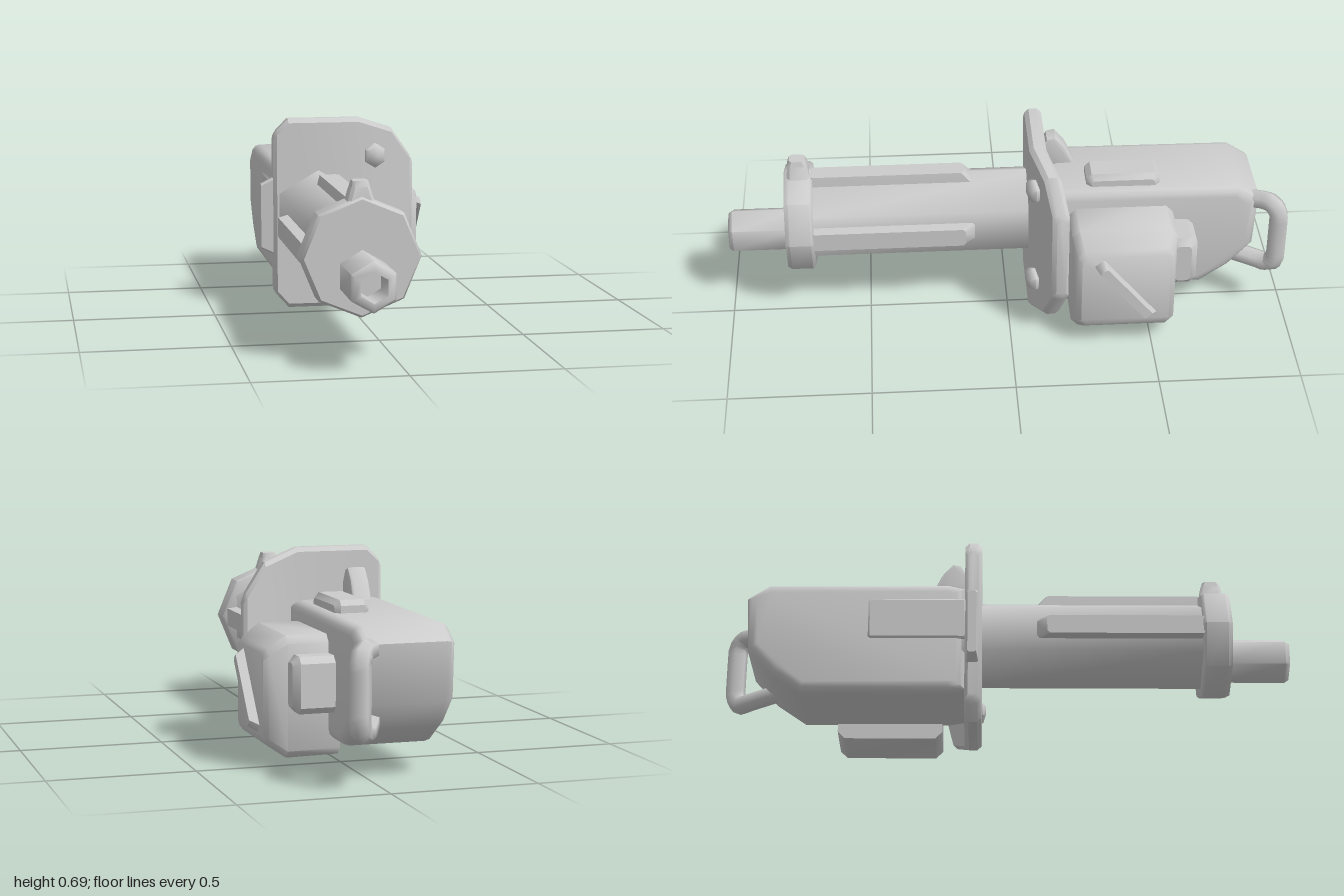
import * as THREE from 'three';
import { toCreasedNormals } from 'three/addons/utils/BufferGeometryUtils.js';

const CX = -0.112, CY = 0.341; // barrel axis

// Chamfered rectangle in the y-z plane at a given x
function ring(x, y0, y1, z0, z1, c = 0.01) {
  return [[y0 + c, z0], [y1 - c, z0], [y1, z0 + c], [y1, z1 - c],
    [y1 - c, z1], [y0 + c, z1], [y0, z1 - c], [y0, z0 + c]].map(([y, z]) => [x, y, z]);
}

// Closed solid through rings ordered by increasing x
function loft(rings) {
  const n = rings[0].length, last = (rings.length - 1) * n, idx = [];
  for (let i = 0; i < rings.length - 1; i++) {
    for (let j = 0; j < n; j++) {
      const k = (j + 1) % n, a = i * n + j, b = i * n + k;
      idx.push(a, b, b + n, a, b + n, a + n);
    }
  }
  for (let j = 1; j < n - 1; j++) idx.push(0, j + 1, j, last, last + j, last + j + 1);
  const g = new THREE.BufferGeometry();
  g.setAttribute('position', new THREE.Float32BufferAttribute(rings.flat(2), 3));
  g.setIndex(idx);
  return g;
}

// Box with all edges chamfered by c
function slab(x0, x1, y0, y1, z0, z1, c) {
  const inner = [y0 + c, y1 - c, z0 + c, z1 - c];
  return loft([ring(x0, ...inner, c / 2), ring(x0 + c, y0, y1, z0, z1, c),
    ring(x1 - c, y0, y1, z0, z1, c), ring(x1, ...inner, c / 2)]);
}

// Side profile of [z, y] points, extruded across x with a rounded edge
function sideProfile(points, x0, x1, bevel, segments) {
  const shape = new THREE.Shape(points.map(([z, y]) => new THREE.Vector2(-z, y)));
  return new THREE.ExtrudeGeometry(shape, {
    depth: x1 - x0 - 2 * bevel, bevelThickness: bevel, bevelSize: bevel,
    bevelOffset: -bevel, bevelSegments: segments,
  }).rotateY(Math.PI / 2).translate(x0 + bevel, 0, 0);
}

// Turned part along z from [radius, z] points
function turned(points, sides) {
  return new THREE.LatheGeometry(points.map(p => new THREE.Vector2(...p)), sides).rotateX(Math.PI / 2);
}

export function createModel() {
  const group = new THREE.Group();
  const material = new THREE.MeshStandardMaterial({ color: 0xcccccc });
  const add = (name, geometry, crease = 0.75) => {
    const mesh = new THREE.Mesh(toCreasedNormals(geometry, crease), material);
    mesh.name = name;
    group.add(mesh);
    return mesh;
  };

  // Barrel, front collar and hollow muzzle
  add('barrel', turned([[0, -0.15], [0.164, -0.15], [0.164, 0.72], [0, 0.72]], 6).translate(CX, CY, 0), 1.1);
  add('collar', turned([[0, 0.69], [0.188, 0.69], [0.197, 0.70], [0.197, 0.775], [0.188, 0.79], [0, 0.79]], 8)
    .translate(CX, CY, 0), 0.9);
  add('muzzle', turned([[0, 0.75], [0.083, 0.75], [0.083, 0.985], [0.072, 1], [0.05, 1], [0.05, 0.88], [0, 0.88]], 6)
    .translate(CX, 0.284, 0), 1.1);

  // Ribs on the top and both sides of the barrel
  ['leftRib', 'topRib', 'rightRib'].forEach((name, i) => {
    const rib = loft([ring(0.11, -0.038, 0.038, 0.1, 0.7), ring(0.135, -0.038, 0.038, 0.11, 0.7),
      ring(0.18, -0.034, 0.034, 0.15, 0.7)]);
    add(name, rib.rotateZ(i * Math.PI / 2).translate(CX, CY, 0));
  });

  // Front sight: tapered post on the collar
  const post = loft([ring(0.17, -0.046, 0.046, 0.695, 0.78), ring(0.225, -0.03, 0.03, 0.705, 0.775),
    ring(0.244, -0.025, 0.025, 0.712, 0.768)]);
  add('frontSight', post.rotateZ(Math.PI / 2).translate(CX, CY, 0));

  // Guard plate, swept back on its left half
  const stations = [[-0.275, 0.07, 0.63, 0.012], [-0.262, 0.05, 0.65, 0], [-0.22, 0.003, 0.692, 0],
    [0.036, 0.003, 0.692, 0], [0.165, 0.06, 0.648, 0], [0.238, 0.18, 0.546, 0], [0.25, 0.2, 0.526, 0.012]];
  add('guardPlate', loft(stations.map(([x, y0, y1, inset]) => {
    const sweep = Math.max(0, x - 0.036) * 0.33;
    return ring(x, y0, y1, -0.135 - sweep + inset, -0.075 - sweep - inset, 0.015);
  })), 0.6);
  add('guardTab', loft([ring(-0.318, 0.222, 0.455, -0.125, -0.095, 0.005),
    ring(-0.26, 0.195, 0.485, -0.13, -0.085, 0.005)]));

  // Domed hex bolts
  for (const [name, y] of [['upperBolt', 0.553], ['lowerBolt', 0.172]]) {
    const bolt = add(name, turned([[0.042, -0.01], [0.045, 0.012], [0.035, 0.026], [0, 0.034]], 6), 1.1);
    bolt.position.set(0.095, y, -0.095);
    bolt.rotation.y = 0.32;
  }

  // Main body, with a rear underside that slopes up
  add('body', sideProfile([[-0.13, 0.11], [-0.19, 0.1], [-0.7, 0.1], [-0.8, 0.17], [-0.885, 0.265],
    [-0.895, 0.46], [-0.82, 0.51], [-0.19, 0.515], [-0.13, 0.5]], -0.26, 0.07, 0.035, 3), 0.8);
  add('rightPanel', slab(-0.266, -0.24, 0.3, 0.45, -0.47, -0.13, 0.006));
  add('topPad', slab(-0.09, 0.03, 0.48, 0.555, -0.54, -0.28, 0.018));
  add('rearSight', sideProfile([[-0.26, 0.49], [-0.215, 0.58], [-0.18, 0.622], [-0.15, 0.615],
    [-0.125, 0.57], [-0.125, 0.49]], -0.2, -0.13, 0.012, 2));

  // Side housing with a diagonal strip and a small rear block
  add('sideHousing', loft([ring(0.03, 0.045, 0.45, -0.585, -0.215, 0.025), ring(0.21, 0.042, 0.45, -0.585, -0.215, 0.025),
    ring(0.27, 0.083, 0.408, -0.57, -0.23, 0.025), ring(0.286, 0.1, 0.39, -0.555, -0.245, 0.02)]), 0.8);
  const strip = add('diagonalStrip', loft([ring(0, -0.16, 0.16, -0.023, 0.023, 0.004),
    ring(0.042, -0.13, 0.13, -0.017, 0.017, 0.004)]));
  strip.position.set(0.275, 0.248, -0.4);
  strip.rotation.x = 0.69;
  add('rearBlock', slab(0.04, 0.21, 0.2, 0.39, -0.66, -0.56, 0.022));

  // Rear carrying handle
  const path = new THREE.CatmullRomCurve3([[-0.01, 0.43, -0.8], [0.05, 0.447, -0.91], [0.075, 0.447, -0.94],
    [0.09, 0.415, -0.962], [0.09, 0.32, -0.963], [0.09, 0.22, -0.962], [0.075, 0.188, -0.94],
    [0.05, 0.188, -0.91], [-0.01, 0.205, -0.78]].map(p => new THREE.Vector3(...p)), false, 'catmullrom', 0.15);
  add('handle', new THREE.TubeGeometry(path, 32, 0.036, 6), 1.1);

  return group;
}
